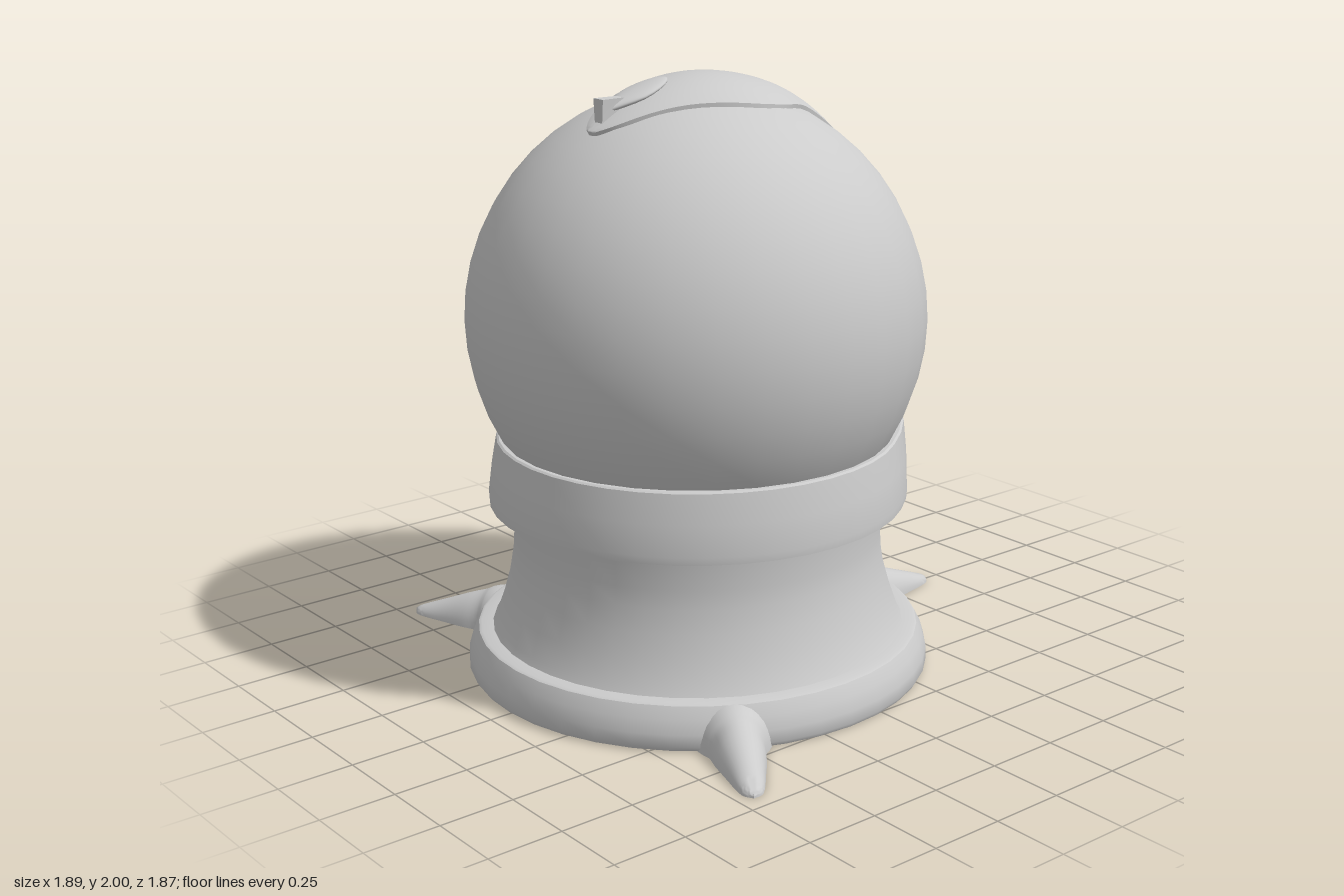
import * as THREE from 'three';
import { toCreasedNormals } from 'three/addons/utils/BufferGeometryUtils.js';

const material = new THREE.MeshStandardMaterial({ color: 0xcccccc });
const CENTRE_Y = 1.2;
const RADIUS = 0.757;
const { lerp, smoothstep } = THREE.MathUtils;

function part(name, geometry, crease = 0.6) {
  const mesh = new THREE.Mesh(crease ? toCreasedNormals(geometry, crease) : geometry, material);
  mesh.name = name;
  return mesh;
}

// Moves every vertex of a geometry by a rule.
function reshape(geometry, rule) {
  const pos = geometry.attributes.position;
  const p = new THREE.Vector3();
  for (let i = 0; i < pos.count; i++) {
    p.fromBufferAttribute(pos, i);
    rule(p, i);
    pos.setXYZ(i, p.x, p.y, p.z);
  }
  geometry.computeVertexNormals();
  return geometry;
}

const lathe = (points) => new THREE.LatheGeometry(points.map(([r, y]) => new THREE.Vector2(r, y)), 40);

// Collar ring, swelling and rising at the back to meet the band.
function collarGeometry() {
  const ring = lathe([[0.6, 0.64], [0.655, 0.63], [0.66, 0.585], [0.695, 0.585], [0.697, 0.61], [0.684, 0.71], [0.667, 0.805], [0.66, 0.81], [0.58, 0.81]]);
  return reshape(ring, (p) => {
    const r = Math.hypot(p.x, p.z);
    const back = smoothstep(-p.z / r, 0.55, 1);
    const up = smoothstep(p.y, 0.585, 0.81);
    const k = r > 0.659 ? 1 + back * lerp(0.02, 0.045, up) / r : 1;
    p.x *= k;
    p.z *= k;
    p.y += 0.035 * back * up;
  });
}

// Raised band over the globe: narrow up the back, leaf-shaped on top.
function bandGeometry() {
  const outline = new THREE.SplineCurve([
    [0.575, 0], [0.56, 0.03], [0.47, 0.088], [0.26, 0.168], [0.06, 0.237], [-0.1, 0.265],
    [-0.24, 0.25], [-0.34, 0.215], [-0.48, 0.16], [-0.7, 0.125], [-1, 0.123], [-1.4, 0.123],
    [-1.75, 0.123], [-1.97, 0.133], [-2.05, 0.18], [-2.16, 0.357], [-2.36, 0.53],
  ].map(([phi, w]) => new THREE.Vector2(phi, w)));
  const cols = 16, rows = 96;
  const grid = new THREE.PlaneGeometry(1, 1, cols, rows);
  return reshape(grid, (p, i) => {
    const col = i % (cols + 1), row = Math.floor(i / (cols + 1));
    // Row 0 lies at the bottom of the back, the last row at the front tip.
    const edge = col === 0 || col === cols || row === rows;
    const s = THREE.MathUtils.clamp((col - cols / 2) / (cols / 2 - 1), -1, 1);
    const { x: phi, y: w } = outline.getPoint(1 - row / rows);
    const crown = phi > -0.1
      ? lerp(0.8, 0.772, smoothstep(phi, -0.1, 0.6))
      : lerp(0.8, 0.786, smoothstep(-phi, 0.1, 1.2));
    const r = edge ? 0.735 : lerp(crown, 0.768, s * s);
    const x = Math.max(w, 0) * s;
    const flat = Math.sqrt(r * r - x * x);
    p.set(x, CENTRE_Y + flat * Math.cos(phi), flat * Math.sin(phi));
  });
}

// Half-round tapering spike along +x with a flat underside.
function spikeGeometry() {
  // distance, half width, height
  const path = new THREE.CatmullRomCurve3([
    [0.66, 0.13, 0.142], [0.74, 0.122, 0.142], [0.785, 0.105, 0.132], [0.81, 0.09, 0.12], [0.87, 0.08, 0.1],
    [0.96, 0.06, 0.066], [1.04, 0.042, 0.036], [1.075, 0.027, 0.022], [1.093, 0, 0.01],
  ].map((v) => new THREE.Vector3(...v)));
  return reshape(new THREE.PlaneGeometry(1, 1, 28, 32), (p) => {
    const { x: d, y: w, z: h } = path.getPoint(p.y + 0.5);
    const a = (p.x + 0.5) * Math.PI * 2;
    p.set(d, 0.003 + Math.max(0, Math.sin(a)) * h, -Math.max(w, 0) * Math.cos(a));
  });
}

export function createModel() {
  const model = new THREE.Group();
  model.name = 'globeOnStand';
  const body = new THREE.Group();
  body.name = 'body';
  body.position.z = 0.153;
  model.add(body);

  // Base disc and flared neck
  body.add(part('base', lathe([[0, 0.006], [0.772, 0.006], [0.78, 0.02], [0.778, 0.06], [0.765, 0.105], [0.745, 0.143], [0.735, 0.148], [0.65, 0.148]])));
  body.add(part('neck', lathe([[0.7, 0.14], [0.683, 0.17], [0.655, 0.25], [0.633, 0.33], [0.62, 0.41], [0.616, 0.47], [0.62, 0.55], [0.626, 0.65]])));
  body.add(part('collar', collarGeometry()));

  // Globe
  const globe = part('globe', new THREE.SphereGeometry(RADIUS, 32, 24), 0);
  globe.position.y = CENTRE_Y;
  body.add(globe);
  body.add(part('band', bandGeometry(), 0.7));

  // Teardrop badge on the front of the band, pointed towards the front
  const drop = part('teardrop', reshape(new THREE.SphereGeometry(1, 24, 16), (p) => {
    const taper = lerp(1, 0.4, smoothstep(p.z, -0.1, 1));
    p.set(p.x * 0.066 * taper, p.y * 0.017, p.z * 0.135);
  }), 0);
  drop.position.set(0, CENTRE_Y + 0.786 * Math.cos(0.32), 0.786 * Math.sin(0.32));
  drop.rotation.x = 0.34;
  body.add(drop);

  // Small upright nub at the teardrop's tip
  const nub = part('nub', reshape(new THREE.BoxGeometry(0.05, 0.08, 0.1), (p) => {
    if (p.y < 0) p.x *= 0.75;
    if (p.z < 0) p.x *= 0.8;
  }));
  nub.position.set(0, 1.905, 0.333);
  body.add(nub);

  // Three spikes around the base
  for (let i = 0; i < 3; i++) {
    const spike = part(['backSpike', 'rightSpike', 'leftSpike'][i], spikeGeometry(), 0.9);
    spike.rotation.y = Math.PI / 2 + (i * Math.PI * 2) / 3;
    body.add(spike);
  }
  return model;
}
